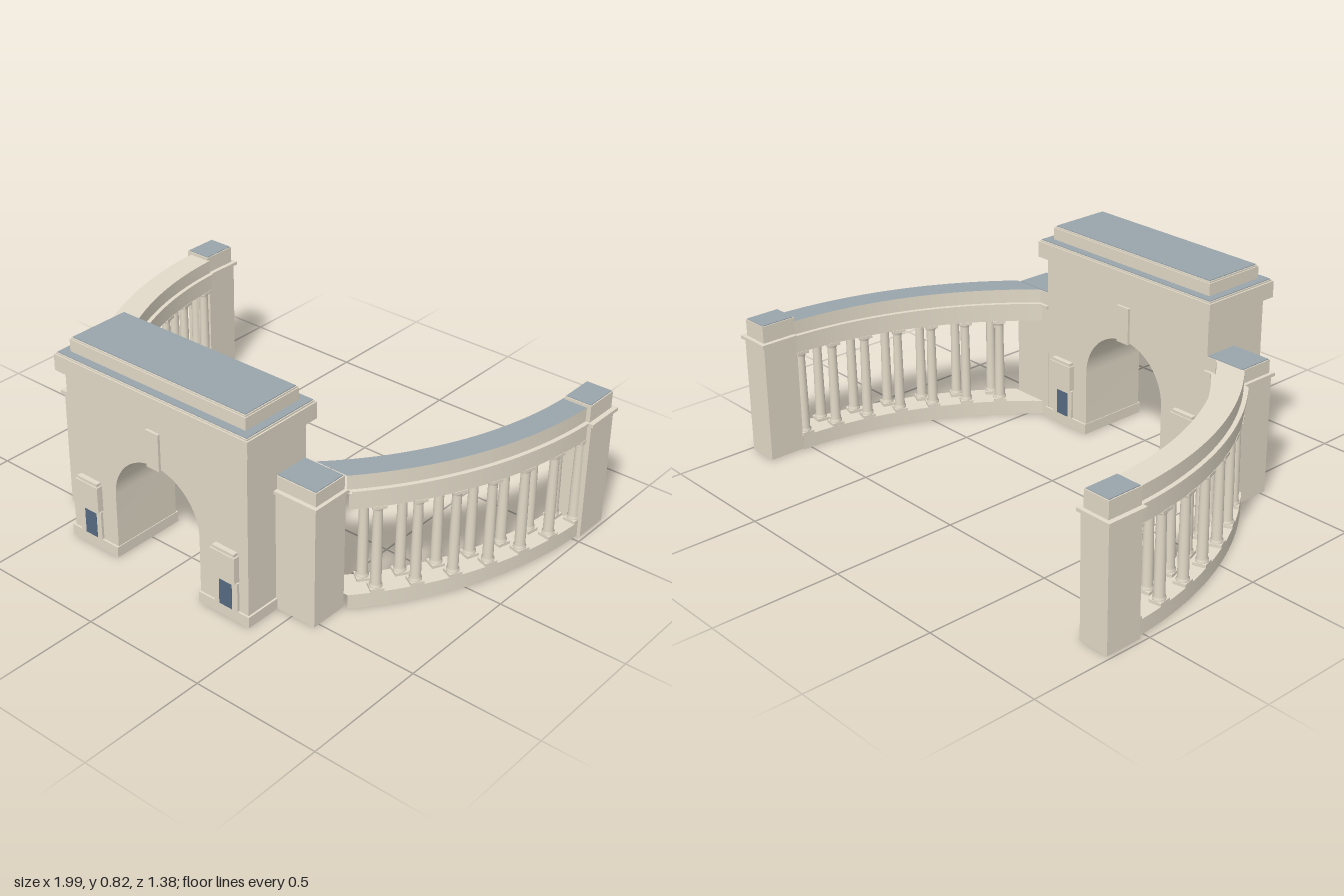
import * as THREE from 'three';
import { toCreasedNormals } from 'three/addons/utils/BufferGeometryUtils.js';

const material = (name, color) => {
  const m = new THREE.MeshStandardMaterial({ color });
  m.name = name;
  return m;
};

export function createModel() {
  const model = new THREE.Group();
  model.name = 'triumphalArch';
  const stone = material('stone', 0xe2dac8);
  const slate = material('slate', 0x99a4ac);
  const blue = material('doorBlue', 0x566b84);

  const add = (name, geometry, mat) => {
    const mesh = new THREE.Mesh(geometry, mat);
    mesh.name = name;
    model.add(mesh);
    return mesh;
  };
  // Box given by its limits, mirrored in x by side
  const block = (name, side, [x0, x1], [y0, y1], [z0, z1], mat = stone) => {
    const g = new THREE.BoxGeometry(x1 - x0, y1 - y0, z1 - z0);
    g.translate(side * (x0 + x1) / 2, (y0 + y1) / 2, (z0 + z1) / 2);
    return add(name, g, mat);
  };
  // Block with a slate sheet on its top
  const roofed = (name, side, [x0, x1], [y0, y1], [z0, z1], inset = 0.004) => {
    block(name, side, [x0, x1], [y0, y1 - 0.003], [z0, z1]);
    block(name + 'Roof', side, [x0 + inset, x1 - inset], [y1 - 0.003, y1], [z0 + inset, z1 - inset], slate);
  };

  // Main block with the arched passage
  const front = new THREE.Shape();
  front.moveTo(-0.425, 0);
  front.lineTo(-0.203, 0);
  front.lineTo(-0.203, 0.263);
  front.absarc(0, 0.263, 0.203, Math.PI, 0, true);
  front.lineTo(0.203, 0);
  front.lineTo(0.425, 0);
  front.lineTo(0.425, 0.69);
  front.lineTo(-0.425, 0.69);
  const body = new THREE.ExtrudeGeometry(front, { depth: 0.295, bevelEnabled: false, curveSegments: 32 });
  body.translate(0, 0, 0.37);
  add('archBlock', toCreasedNormals(body, 0.5), stone);

  // Cornice and attic
  block('mainCornice', 1, [-0.45, 0.45], [0.69, 0.754], [0.345, 0.69]);
  roofed('corniceTop', 1, [-0.444, 0.444], [0.754, 0.763], [0.35, 0.685]);
  block('attic', 1, [-0.408, 0.408], [0.763, 0.81], [0.387, 0.65]);
  roofed('atticTop', 1, [-0.404, 0.404], [0.81, 0.819], [0.391, 0.646]);

  // Keystones, niches and doors on both faces of the arch
  for (const face of [1, -1]) {
    const z = (depth) => face > 0 ? [0.655, 0.665 + depth] : [0.37 - depth, 0.38];
    block('keystone', 1, [-0.03, 0.03], [0.46, 0.607], z(0.01));
    for (const side of [1, -1]) {
      block('doorSurround', side, [0.277, 0.383], [0.045, 0.16], z(0.01));
      block('door', side, [0.3, 0.358], [0.045, 0.147], z(0.0115), blue);
      block('reliefPanel', side, [0.273, 0.384], [0.168, 0.272], z(0.025));
      block('reliefPanelTop', side, [0.279, 0.378], [0.272, 0.284], z(0.02));
    }
  }

  // Curved colonnade: centre line is an arc
  const CX = -0.525, CZ = -0.6, R = 1.438;
  const onArc = (side, angle, offset, y) => new THREE.Vector3(
    side * (CX + (R + offset) * Math.cos(angle)), y, CZ + (R + offset) * Math.sin(angle));
  // Both ends are cut square in z, against the end pier and the wing block
  const angleAt = (offset, z) => Math.asin((z - CZ) / (R + offset));
  const along = (side, f, offset, y) => onArc(side, THREE.MathUtils.lerp(
    angleAt(offset, -0.535), angleAt(offset, 0.37), f), offset, y);

  // Rectangular section swept along the arc; the third face is the top
  const band = (name, side, half, y0, y1, topMat = stone) => {
    const section = [[-half, y0], [half, y0], [half, y1], [-half, y1]];
    const steps = 24, points = [];
    for (let e = 0; e < 4; e++) {
      const [p, q] = side > 0
        ? [section[e], section[(e + 1) % 4]] : [section[(e + 1) % 4], section[e]];
      for (let i = 0; i < steps; i++) {
        const a = i / steps, b = (i + 1) / steps;
        const c = [along(side, a, ...p), along(side, a, ...q), along(side, b, ...q), along(side, b, ...p)];
        points.push(c[0], c[1], c[2], c[0], c[2], c[3]);
      }
    }
    const g = new THREE.BufferGeometry().setFromPoints(points);
    const n = steps * 6;
    g.addGroup(0, 2 * n, 0);
    g.addGroup(2 * n, n, 1);
    g.addGroup(3 * n, n, 0);
    add(name, toCreasedNormals(g, 0.5), [stone, topMat]);
  };

  // Column with round base and capital
  const columnGeometry = new THREE.LatheGeometry([
    [0.024, 0.07], [0.024, 0.078], [0.02, 0.084], [0.0195, 0.2],
    [0.017, 0.385], [0.021, 0.392], [0.023, 0.402],
  ].map(([r, y]) => new THREE.Vector2(r, y)), 14);
  const slabGeometry = new THREE.BoxGeometry(0.05, 0.012, 0.05);

  for (const side of [1, -1]) {
    // Arch pier plinth
    block('archPlinth', side, [0.2, 0.433], [0, 0.043], [0.362, 0.673]);

    // Wing block beside the arch
    block('wingBlock', side, [0.42, 0.598], [0, 0.472], [0.368, 0.525]);
    block('wingCornice', side, [0.42, 0.608], [0.472, 0.485], [0.358, 0.535]);
    roofed('wingParapet', side, [0.42, 0.594], [0.485, 0.54], [0.37, 0.518]);

    // End pier
    block('endPier', side, [0.86, 0.985], [0, 0.472], [-0.677, -0.53]);
    block('endPierCornice', side, [0.85, 0.997], [0.472, 0.485], [-0.688, -0.522]);
    roofed('endPierCap', side, [0.868, 0.978], [0.485, 0.555], [-0.672, -0.528]);

    // Swept base, entablature, cornice and parapet; only the left wing is roofed in slate
    band('colonnadeBase', side, 0.06, 0, 0.058);
    band('entablature', side, 0.058, 0.41, 0.472);
    band('colonnadeCornice', side, 0.067, 0.472, 0.485);
    band('colonnadeParapet', side, 0.05, 0.485, 0.54, side > 0 ? slate : stone);

    // Paired columns, the outer one set slightly towards the end pier
    for (let i = 0; i < 7; i++) {
      for (const row of [-1, 1]) {
        const angle = THREE.MathUtils.degToRad(3.2 + 5.62 * i - row * 0.6);
        const p = onArc(side, angle, row * 0.035, 0);
        add('column', columnGeometry, stone).position.copy(p);
        for (const y of [0.064, 0.405]) {
          const slab = add(y < 0.1 ? 'columnPlinth' : 'columnAbacus', slabGeometry, stone);
          slab.position.set(p.x, y, p.z);
          slab.rotation.y = -side * angle;
        }
      }
    }
  }
  return model;
}
